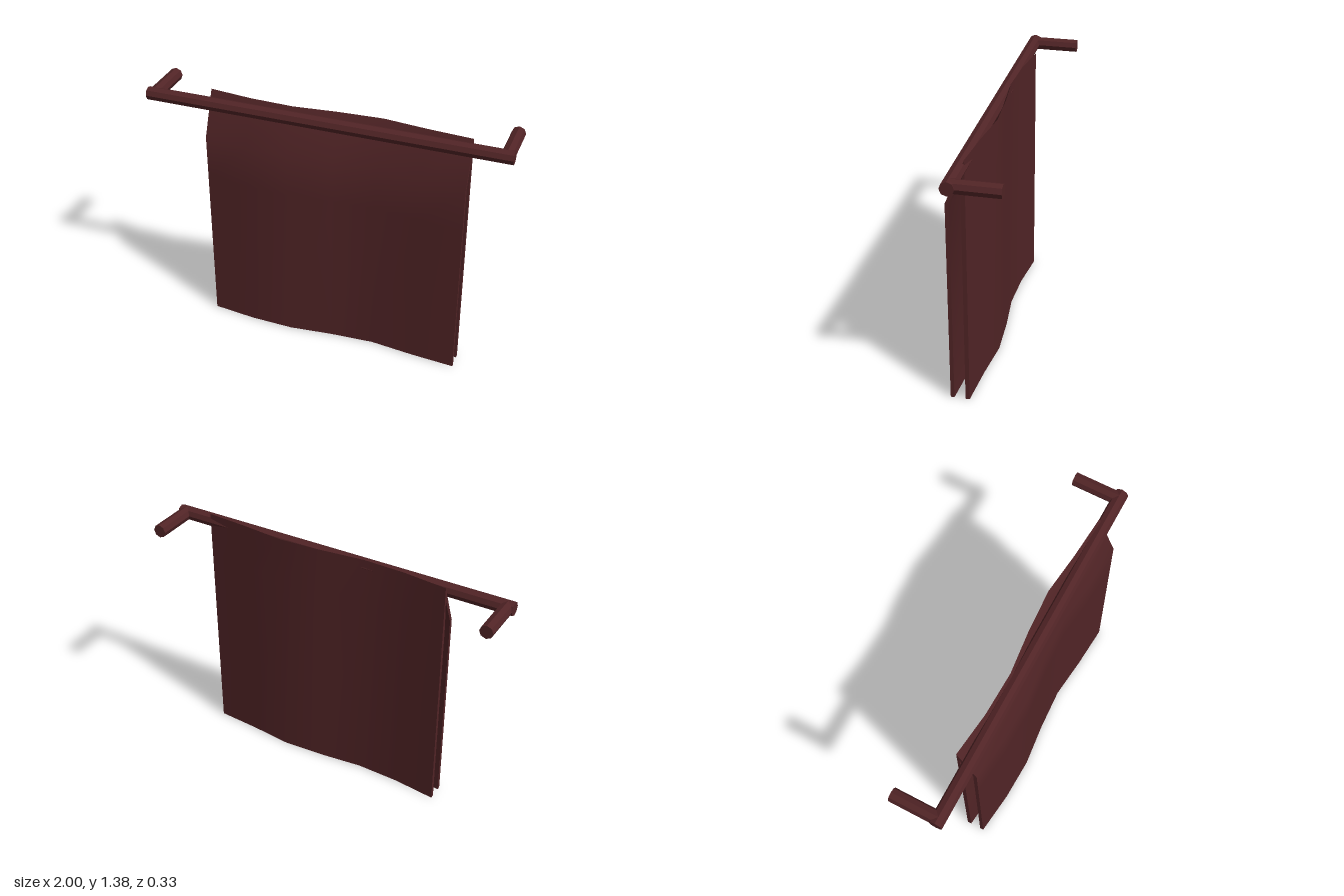
import * as THREE from 'three';
import { toCreasedNormals } from 'three/addons/utils/BufferGeometryUtils.js';

export function createModel() {
  const model = new THREE.Group();
  model.name = 'towelRail';
  const maroon = new THREE.MeshStandardMaterial({ color: 0x512426 });
  maroon.name = 'dark maroon';

  const add = (name, geometry) => {
    const mesh = new THREE.Mesh(geometry, maroon);
    mesh.name = name;
    model.add(mesh);
    return mesh;
  };

  // Octagonal rods: one long bar and two wall arms
  const R = 0.037, BAR_Y = 1.333, BAR_Z = 0.091;
  const rod = (length) => toCreasedNormals(new THREE.CylinderGeometry(R, R, length, 8), 0.6);
  add('bar', rod(2).rotateZ(Math.PI / 2)).position.set(0, BAR_Y, BAR_Z);
  const armBack = -0.165, armLength = BAR_Z - armBack;
  for (const [name, side] of [['leftArm', 1], ['rightArm', -1]]) {
    add(name, rod(armLength).rotateX(Math.PI / 2))
      .position.set(side * (1 - R), BAR_Y, (BAR_Z + armBack) / 2);
  }

  // Folded towel section as (z, y): front sheet, ridge, back sheet, inner fold
  const section = [
    [0.165, 0], [0.165, 0.9], [0.165, 1.14], [0.063, 1.383], [0.063, 1.14], [0.063, 0],
    [0.085, 0], [0.085, 1.14], [0.074, 1.3], [0.145, 1.14], [0.145, 0],
  ];
  const shape = new THREE.Shape(section.map(([z, y]) => new THREE.Vector2(-z, y)));

  // Sweep along x and shift each step forward or back for the soft waves
  const waves = [-0.043, -0.015, -0.007, -0.032, -0.045, -0.018, 0];
  const steps = waves.length - 1, x0 = -0.66, width = 1.445;
  const towel = new THREE.ExtrudeGeometry(shape, { depth: width, steps, bevelEnabled: false });
  towel.rotateY(Math.PI / 2);
  towel.translate(x0, 0, 0);
  const pos = towel.attributes.position;
  for (let i = 0; i < pos.count; i++) {
    const step = Math.round(((pos.getX(i) - x0) / width) * steps);
    pos.setZ(i, pos.getZ(i) + waves[step]);
  }
  towel.computeVertexNormals();
  add('towel', toCreasedNormals(towel, 0.6));

  return model;
}
